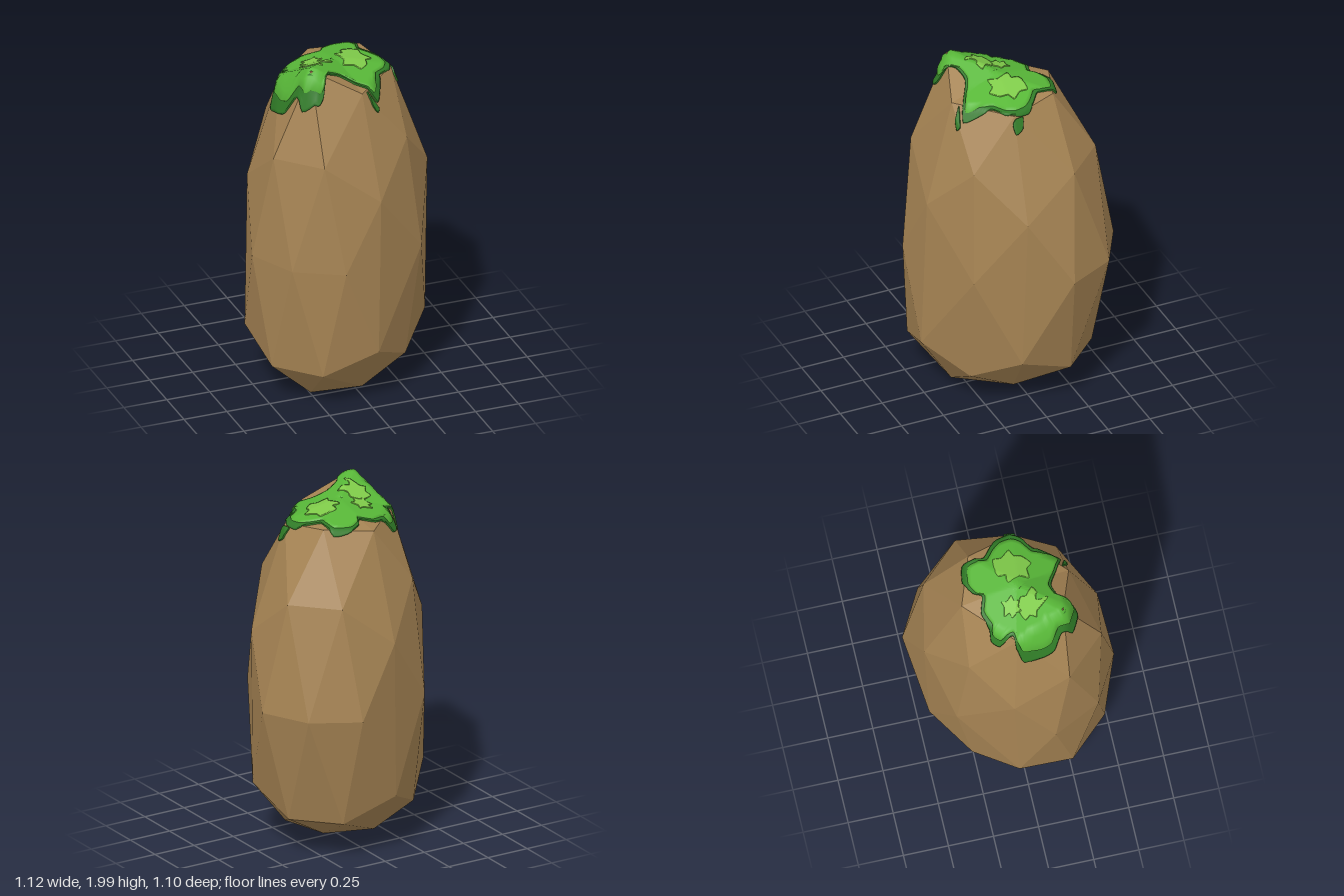
import * as THREE from 'three';

// Tall faceted boulder: a subdivided icosahedron, skewed and stretched by rule
function rockGeometry() {
  const geo = new THREE.IcosahedronGeometry(1, 1);
  const pos = geo.attributes.position;
  for (let i = 0; i < pos.count; i++) {
    const x = pos.getX(i), y = pos.getY(i), z = pos.getZ(i);
    const belt = Math.abs(y) < 0.01;
    let h;
    if (y <= 0.01) {
      // blunt underside, slightly tilted
      h = 0.86 - 0.86 * Math.pow(Math.abs(y), 0.44) + (y < -0.6 ? 0.07 * x : 0);
    } else if (y < 0.6) h = 0.86 + 1.24 * y;
    else if (y < 0.83) h = 1.83;
    else if (y < 0.9) h = x < 0 ? 1.978 : 1.86; // one high corner, one low corner
    else h = 1.905;
    // both ends drift to one side; the belt is a little wider
    const lean = y < -0.01 ? 0.035 : 0.04 * y;
    const wide = belt && Math.abs(x) > 0.1 ? 1.08 : 1;
    pos.setXYZ(i,
      0.43 * x + 0.34 * z * wide - lean,
      h,
      -0.405 * x + 0.36 * z * wide + lean);
  }
  geo.computeVertexNormals();
  return geo;
}

// Patch draped over the rock: rings between two scales of an x, z outline
function drape(rock, outline, [cx, cz], from, to, lift, color, name) {
  const ray = new THREE.Raycaster();
  const down = new THREE.Vector3(0, -1, 0);
  const curve = new THREE.CatmullRomCurve3(
    outline.map(([x, z]) => new THREE.Vector3(x, 0, z)), true, 'catmullrom', 0.3);
  const segs = outline.length * 4, rings = 14;
  const edge = curve.getPoints(segs).slice(0, segs);
  const verts = [], index = [];
  for (let r = 0; r <= rings; r++) {
    // the last ring drops onto the rock to close the rim
    const k = from + (to - from) * Math.min(r / (rings - 1), 1);
    const up = r === rings ? -0.004 : lift;
    for (let i = 0; i < segs; i++) {
      const x = cx + (edge[i].x - cx) * k, z = cz + (edge[i].z - cz) * k;
      ray.set(new THREE.Vector3(x, 4, z), down);
      const hit = ray.intersectObject(rock)[0];
      const p = hit.point.addScaledVector(hit.face.normal, up);
      verts.push(p.x, p.y, p.z);
      if (r < rings) {
        const a = r * segs + i, b = r * segs + (i + 1) % segs;
        index.push(a, b + segs, a + segs, a, b, b + segs);
      }
    }
  }
  const geo = new THREE.BufferGeometry();
  geo.setAttribute('position', new THREE.Float32BufferAttribute(verts, 3));
  geo.setIndex(index);
  geo.computeVertexNormals();
  const mesh = new THREE.Mesh(geo, new THREE.MeshStandardMaterial({ color, side: THREE.DoubleSide }));
  mesh.name = name;
  return mesh;
}

export function createModel() {
  const group = new THREE.Group();
  group.name = 'mossyRock';

  const rock = new THREE.Mesh(rockGeometry(),
    new THREE.MeshStandardMaterial({ color: 0xa58353, flatShading: true }));
  rock.name = 'rock';
  rock.updateMatrixWorld();
  group.add(rock);

  // Moss cap: dark rim around a bright layer
  const moss = [
    [-0.39, 0], [-0.35, -0.03], [-0.30, -0.04], [-0.31, -0.11], [-0.27, -0.15],
    [-0.22, -0.15], [-0.14, -0.18], [-0.05, -0.155], [-0.02, -0.2], [0.05, -0.235],
    [0.15, -0.215], [0.165, -0.15], [0.16, -0.10], [0.22, -0.05], [0.26, 0],
    [0.27, 0.07], [0.24, 0.12], [0.17, 0.17], [0.15, 0.22], [0.10, 0.31],
    [0.03, 0.28], [-0.08, 0.22], [-0.16, 0.24], [-0.21, 0.31], [-0.25, 0.325],
    [-0.32, 0.28], [-0.33, 0.22], [-0.38, 0.17], [-0.395, 0.1],
  ];
  const centre = [-0.07, 0.05];
  group.add(drape(rock, moss, centre, 0.82, 1, 0.009, 0x2f7a26, 'mossRim'));
  group.add(drape(rock, moss, centre, 0, 0.91, 0.016, 0x58b838, 'mossTop'));

  // Pale ragged tufts on the cap
  const tufts = [
    [[-0.21, -0.02], [-0.18, -0.03], [-0.19, -0.06], [-0.14, -0.05], [-0.11, -0.06],
      [-0.115, -0.03], [-0.09, 0], [-0.12, 0.01], [-0.13, 0.04], [-0.16, 0.03],
      [-0.19, 0.04], [-0.19, 0.01]],
    [[-0.245, 0.05], [-0.20, 0.03], [-0.16, 0.03], [-0.115, 0.05], [-0.12, 0.08],
      [-0.09, 0.11], [-0.13, 0.13], [-0.16, 0.13], [-0.175, 0.18], [-0.20, 0.15],
      [-0.22, 0.12], [-0.25, 0.11], [-0.23, 0.08]],
    [[-0.02, 0], [0.02, -0.01], [0.03, -0.045], [0.08, -0.06], [0.13, -0.055], [0.13, -0.01],
      [0.17, 0.04], [0.13, 0.06], [0.12, 0.10], [0.07, 0.14], [0.04, 0.11], [-0.02, 0.11],
      [0, 0.06]],
  ];
  const tuftCentres = [[-0.15, -0.01], [-0.17, 0.09], [0.075, 0.035]];
  tufts.forEach((t, i) =>
    group.add(drape(rock, t, tuftCentres[i], 0, 1, 0.021, 0x80cc4a, 'mossTuft' + (i + 1))));

  // Loose drips below the rim
  const drips = [
    [[0.04, 0.31], [0.07, 0.318], [0.10, 0.33], [0.09, 0.342], [0.06, 0.338]],
    [[0.27, 0.04], [0.30, 0.05], [0.305, 0.09], [0.28, 0.10], [0.275, 0.07]],
  ];
  const dripCentres = [[0.07, 0.328], [0.288, 0.07]];
  drips.forEach((d, i) =>
    group.add(drape(rock, d, dripCentres[i], 0, 1, 0.009, 0x2f7a26, 'mossDrip' + (i + 1))));

  return group;
}
